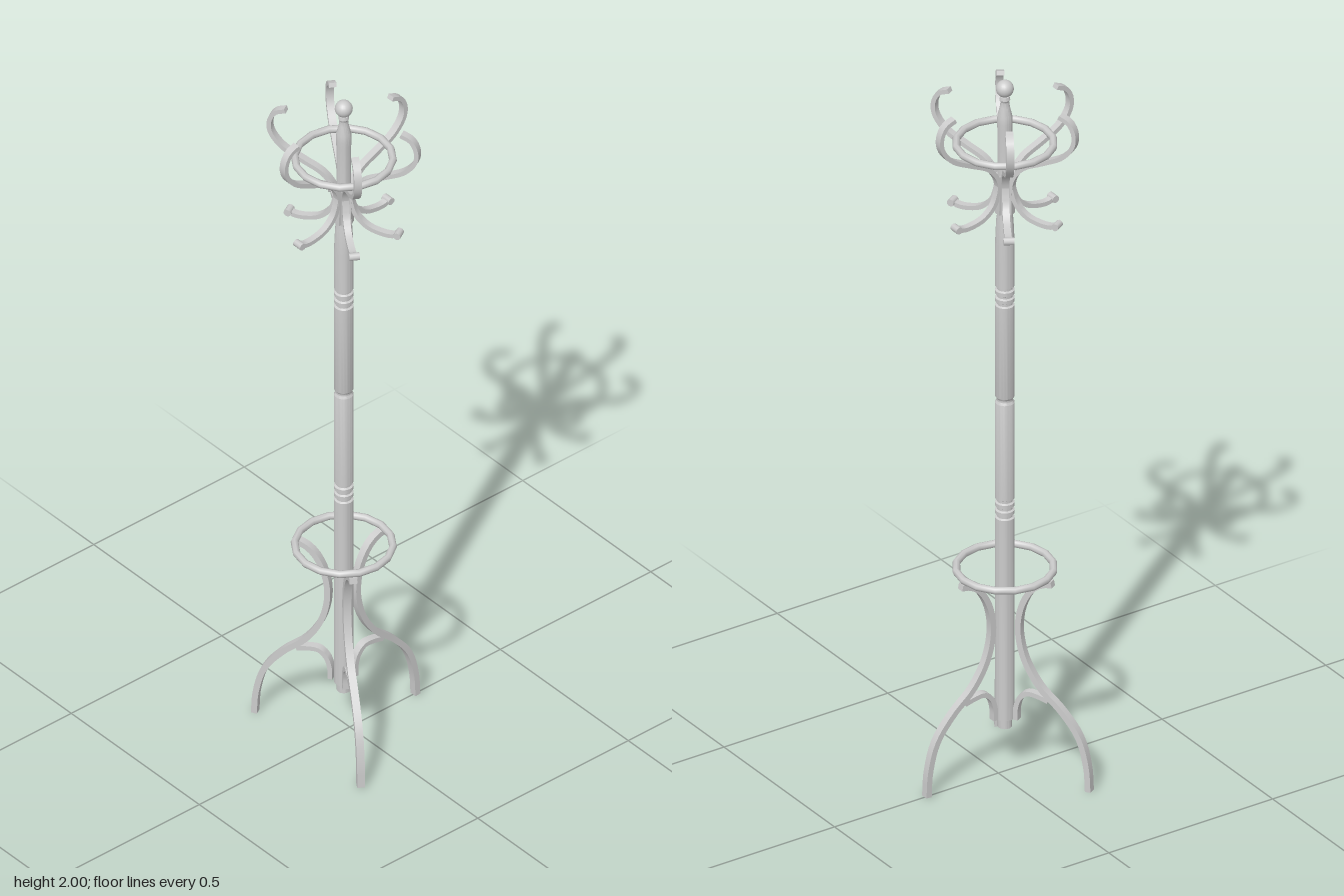
import * as THREE from 'three';
import { toCreasedNormals } from 'three/addons/utils/BufferGeometryUtils.js';

const material = new THREE.MeshStandardMaterial({ color: 0xcccccc });
const AXIS_X = -0.02; // the pole stands slightly off centre

function part(name, geometry, parent) {
  const mesh = new THREE.Mesh(geometry, material);
  mesh.name = name;
  parent.add(mesh);
  return mesh;
}

// Flat bentwood strip following a curve of [radius, height] points
function strip(points, thickness, width, segments = 24) {
  const curve = new THREE.CatmullRomCurve3(points.map(([r, y]) => new THREE.Vector3(r, y, 0)));
  const sideA = [], sideB = [];
  for (let i = 0; i <= segments; i++) {
    const p = curve.getPointAt(i / segments), t = curve.getTangentAt(i / segments);
    const dx = -t.y * thickness / 2, dy = t.x * thickness / 2;
    sideA.push(new THREE.Vector2(p.x + dx, p.y + dy));
    sideB.unshift(new THREE.Vector2(p.x - dx, p.y - dy));
  }
  const g = new THREE.ExtrudeGeometry(new THREE.Shape([...sideA, ...sideB]), { depth: width, bevelEnabled: false });
  g.translate(0, 0, -width / 2);
  return toCreasedNormals(g, 0.7);
}

// Repeats a set of named geometries evenly around the pole
function around(name, count, pieces, parent) {
  for (let i = 0; i < count; i++) {
    const arm = new THREE.Group();
    arm.name = name + (i + 1);
    arm.rotation.y = i * 2 * Math.PI / count;
    for (const [label, geometry] of pieces) part(label, geometry, arm);
    parent.add(arm);
  }
}

// Three narrow turned grooves centred on height y
function grooves(y, r) {
  const out = [];
  for (const d of [-0.022, 0, 0.022]) {
    out.push([r, y + d - 0.006], [r - 0.005, y + d - 0.003], [r - 0.005, y + d + 0.003], [r, y + d + 0.006]);
  }
  return out;
}

export function createModel() {
  const model = new THREE.Group();
  model.name = 'coatStand';
  const stand = new THREE.Group();
  stand.name = 'stand';
  stand.position.x = AXIS_X;
  model.add(stand);

  // Turned pole with grooves and a shaped neck
  const profile = [
    [0, 0.13], [0.018, 0.13], [0.018, 0.155], [0.025, 0.157],
    ...grooves(0.765, 0.025),
    [0.025, 1.07], [0.021, 1.076], [0.021, 1.082], [0.025, 1.088],
    ...grooves(1.38, 0.025),
    [0.025, 1.53], [0.022, 1.6], [0.019, 1.62], [0.019, 1.86],
    [0.02, 1.88], [0.019, 1.9], [0.013, 1.925], [0.011, 1.94], [0.014, 1.946], [0.012, 1.955], [0, 1.957],
  ].map(([r, y]) => new THREE.Vector2(r, y));
  part('pole', toCreasedNormals(new THREE.LatheGeometry(profile, 20), 0.6), stand);

  // Ball finial
  part('finial', new THREE.SphereGeometry(0.023, 20, 14), stand).position.y = 1.977;

  // Upper hat ring and lower umbrella ring
  for (const [name, y] of [['upperRing', 1.82], ['lowerRing', 0.59]]) {
    const ring = new THREE.TorusGeometry(0.125, 0.01, 8, 16);
    ring.rotateX(Math.PI / 2);
    part(name, ring, stand).position.y = y;
  }

  // Three curved legs, each with a small brace against the pole
  const leg = strip([
    [0.238, 0], [0.233, 0.07], [0.21, 0.15], [0.16, 0.215], [0.1, 0.27], [0.058, 0.34],
    [0.041, 0.42], [0.05, 0.49], [0.078, 0.545], [0.108, 0.568], [0.135, 0.574],
  ], 0.016, 0.02, 36);
  const brace = strip([
    [0.034, 0.16], [0.035, 0.195], [0.045, 0.225], [0.065, 0.243], [0.09, 0.243], [0.125, 0.235],
  ], 0.013, 0.02, 18);
  around('leg', 3, [['legStrip', leg], ['legBrace', brace]], stand);

  // Six large hooks curling up around the hat ring
  const upperHook = strip([
    [0.018, 1.62], [0.018, 1.68], [0.026, 1.725], [0.055, 1.762], [0.11, 1.79], [0.165, 1.82],
    [0.195, 1.86], [0.197, 1.895], [0.182, 1.923], [0.155, 1.935],
  ], 0.012, 0.02, 36);
  around('upperHook', 6, [['upperHookStrip', upperHook]], stand);

  // Six small coat hooks with rounded tips
  const lowerHook = strip([
    [0.018, 1.73], [0.022, 1.69], [0.036, 1.65], [0.065, 1.622], [0.1, 1.611], [0.13, 1.61], [0.148, 1.617],
  ], 0.012, 0.018);
  const tip = new THREE.CylinderGeometry(0.01, 0.01, 0.027, 10);
  tip.rotateX(Math.PI / 2);
  tip.translate(0.147, 1.616, 0);
  around('lowerHook', 6, [['lowerHookStrip', lowerHook], ['lowerHookTip', tip]], stand);

  return model;
}
